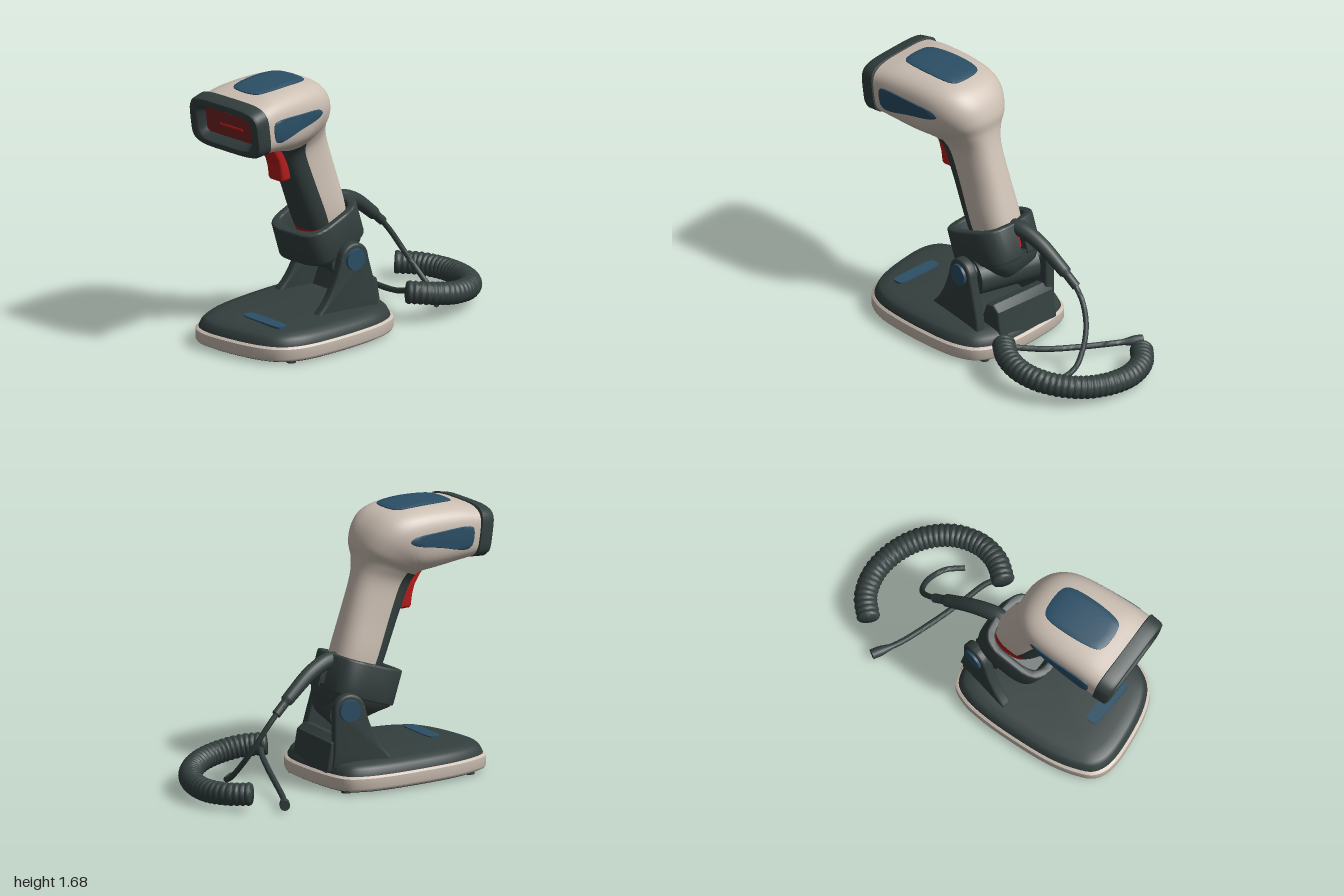
import * as THREE from 'three';
import { toCreasedNormals } from 'three/addons/utils/BufferGeometryUtils.js';

const mat = (name, color) => Object.assign(new THREE.MeshStandardMaterial({ color }), { name });
const V = (x, y, z) => new THREE.Vector3(x, y, z);

// Skin through closed rings, capped at both ends; pick(i, j) gives a material index
function loft(rings, crease = 0.7, pick = () => 0) {
  const n = rings[0].length, pts = rings.flat(), buckets = [[], [], []];
  const quad = (i, j) => {
    const a = i * n + j, b = i * n + (j + 1) % n, c = a + n, d = b + n;
    buckets[pick(i, j)].push(a, b, c, b, d, c);
  };
  for (let i = 0; i < rings.length - 1; i++) for (let j = 0; j < n; j++) quad(i, j);
  [[0, true], [rings.length - 1, false]].forEach(([i, start]) => {
    const mid = rings[i].reduce((s, p) => s.add(p), V(0, 0, 0)).divideScalar(n);
    const k = pts.push(mid) - 1, b = buckets[pick(Math.min(i, rings.length - 2), 0)];
    for (let j = 0; j < n; j++) {
      const p = i * n + j, q = i * n + (j + 1) % n;
      start ? b.push(k, q, p) : b.push(k, p, q);
    }
  });
  // turn the faces outward
  const o = pts[pts.length - 1];
  let vol = 0;
  for (const b of buckets) for (let t = 0; t < b.length; t += 3) {
    const [p, q, r] = [0, 1, 2].map(e => pts[b[t + e]].clone().sub(o));
    vol += p.dot(q.cross(r));
  }
  if (vol < 0) for (const b of buckets) for (let t = 0; t < b.length; t += 3) [b[t], b[t + 1]] = [b[t + 1], b[t]];
  const g = new THREE.BufferGeometry().setFromPoints(pts);
  g.setIndex(buckets.flat());
  let at = 0;
  buckets.forEach((b, m) => { if (b.length) g.addGroup(at, b.length, m); at += b.length; });
  return toCreasedNormals(g, crease);
}

// Rounded-rectangle style section
const pw = (v, n) => Math.sign(v) * Math.pow(Math.abs(v), 2 / n);
const section = (n, count, place) => Array.from({ length: count }, (_, j) => {
  const a = j / count * Math.PI * 2;
  return place(pw(Math.cos(a), n), pw(Math.sin(a), n));
});

// Closed smooth outline through a few 2D points
const outline = (pts, count) =>
  new THREE.CatmullRomCurve3(pts.map(([a, b]) => V(a, b, 0)), true).getPoints(count).slice(0, count);

// Round tube whose radius follows a rule
function cord(points, radius, steps, sides = 12) {
  const curve = new THREE.CatmullRomCurve3(points.map(p => V(...p)));
  const f = curve.computeFrenetFrames(steps);
  const rings = [];
  for (let i = 0; i <= steps; i++) {
    const c = curve.getPointAt(i / steps), r = radius(i / steps);
    rings.push(section(2, sides, (u, v) =>
      c.clone().addScaledVector(f.normals[i], u * r).addScaledVector(f.binormals[i], v * r)));
  }
  return loft(rings, 1.2);
}

// Side profile in (z, y), extruded across x and centred
function sideExtrude(shape, width, bevel) {
  const g = new THREE.ExtrudeGeometry(shape, {
    depth: width - 2 * bevel, bevelEnabled: true, bevelThickness: bevel, bevelSize: bevel, bevelOffset: -bevel, bevelSegments: 3, curveSegments: 16,
  });
  g.translate(0, 0, -(width - 2 * bevel) / 2).rotateY(-Math.PI / 2);
  return toCreasedNormals(g, 0.6);
}
const poly = pts => new THREE.Shape(pts.map(([a, b]) => new THREE.Vector2(a, b)));

export function createModel() {
  const beige = mat('beige plastic', 0xcdc0b4), dark = mat('dark rubber', 0x333f3e), blue = mat('blue accent', 0x2b4f66);
  const red = mat('red trigger', 0xb81c1c), glass = mat('dark red window', 0x762323), beam = mat('bright red line', 0xe01a1a);
  const under = mat('black underside', 0x1c2223);
  const model = new THREE.Group();
  const add = (parent, name, geo, m) => {
    const mesh = new THREE.Mesh(geo, m);
    mesh.name = name;
    parent.add(mesh);
    return mesh;
  };
  const group = (name, parent = model) => {
    const g = new THREE.Group();
    g.name = name;
    parent.add(g);
    return g;
  };

  // Base plate
  const base = group('base');
  const edge = outline([[-0.3, -0.17], [0, -0.16], [0.22, -0.115], [0.34, -0.03], [0.38, 0.08], [0.385, 0.22], [0.34, 0.55],
    [0.28, 0.76], [0.2, 0.87], [0.08, 0.925], [-0.15, 0.95], [-0.38, 0.93], [-0.47, 0.87], [-0.51, 0.76], [-0.53, 0.6],
    [-0.52, 0.35], [-0.49, 0.1], [-0.45, -0.05], [-0.39, -0.14]], 90);
  const baseRing = (y, inset) => edge.map(p =>
    V(-0.07 + (p.x + 0.07) * (1 - inset / 0.45), y, 0.4 + (p.y - 0.4) * (1 - inset / 0.5)));
  const slab = rows => loft(rows.map(r => baseRing(...r)));
  add(base, 'baseRim', slab([[0.018, 0.02], [0.026, 0.006], [0.04, 0], [0.1, 0], [0.112, 0.012]]), beige);
  add(base, 'baseTop', slab([[0.108, 0.014], [0.12, 0.016], [0.155, 0.03], [0.172, 0.045], [0.182, 0.1], [0.192, 0.2]]), dark);
  add(base, 'baseUnderside', slab([[0.012, 0.03], [0.02, 0.028]]), under);
  for (const [x, z] of [[-0.45, 0.76], [0.2, 0.78], [-0.32, -0.1], [0.26, -0.03]])
    add(base, 'foot', new THREE.CylinderGeometry(0.03, 0.03, 0.02, 16).translate(x, 0.01, z), dark);
  const badge = add(base, 'baseAccent', loft([0.185, 0.198].map(y =>
    section(5, 32, (u, v) => V(u * 0.165, y, v * 0.042)))), blue);
  badge.position.set(-0.05, 0, 0.72);
  badge.rotation.y = -0.15;

  // Rear bridge between the arms
  const bridge = add(base, 'rearBridge', sideExtrude(poly([[0.06, 0.15], [0, 0.32], [-0.06, 0.335], [-0.11, 0.3], [-0.14, 0.12]]), 0.45, 0.015), dark);
  bridge.position.set(-0.06, 0, -0.01);
  bridge.rotation.y = -0.2;

  // Arms with pivot caps
  const arm = (name, x, z, yaw, side, back) => {
    const g = group(name);
    g.position.set(x, 0.5, z);
    g.rotation.y = yaw;
    const s = new THREE.Shape();
    s.moveTo(0.28, -0.34);
    s.lineTo(0.27, -0.31);
    s.quadraticCurveTo(0.15, -0.2, 0.1, 0.02);
    s.absarc(0, 0, 0.1, 0.2, Math.PI, false);
    s.lineTo(-back, -0.25);
    s.lineTo(-back - 0.01, -0.36);
    add(g, 'armPlate', sideExtrude(s, 0.065, 0.015), dark);
    add(g, 'pivotCap', new THREE.CylinderGeometry(0.066, 0.07, 0.02, 32).rotateZ(-side * Math.PI / 2).translate(side * 0.038, 0, 0), blue);
  };
  arm('leftArm', 0.19, 0.18, -0.27, 1, 0.17);
  arm('rightArm', -0.28, -0.05, -0.33, -1, 0.1);
  const barrel = add(model, 'pivotBarrel', new THREE.CylinderGeometry(0.11, 0.11, 0.4, 24).rotateZ(Math.PI / 2), dark);
  barrel.position.set(-0.05, 0.455, 0.065);
  barrel.rotation.y = -0.42;
  const pin = add(model, 'pivotPin', new THREE.CylinderGeometry(0.05, 0.05, 0.5, 20).rotateZ(Math.PI / 2), dark);
  pin.position.set(-0.045, 0.5, 0.065);
  pin.rotation.y = -0.44;

  // Hand-held unit, turned a little to its right
  const unit = group('scanner');
  unit.position.x = -0.075;
  unit.rotation.y = -0.09;

  // Cup with a slot at the back for the cable
  const cup = group('cup', unit);
  cup.position.set(0, 0.735, 0.2);
  cup.rotation.x = 0.32;
  const arc = (w, d, gap) => Array.from({ length: 61 }, (_, i) => {
    const a = -Math.PI / 2 + gap + i / 60 * (Math.PI * 2 - 2 * gap);
    return new THREE.Vector2(pw(Math.cos(a), 3.6) * w, pw(Math.sin(a), 3.6) * d);
  });
  const wall = new THREE.ExtrudeGeometry(new THREE.Shape([...arc(0.205, 0.225, 0.045), ...arc(0.18, 0.195, 0.06).reverse()]),
    { depth: 0.2, bevelEnabled: true, bevelThickness: 0.012, bevelSize: 0.012, bevelSegments: 3 });
  add(cup, 'cupWall', toCreasedNormals(wall.rotateX(Math.PI / 2).translate(0, -0.01, 0), 0.6), dark);
  add(cup, 'cupFloor', loft([[-0.19, 0.21, 0.23], [-0.23, 0.205, 0.22], [-0.28, 0.17, 0.18], [-0.34, 0.12, 0.11]]
    .map(([y, w, d]) => section(3.4, 48, (u, v) => V(u * w, y, v * d - (y < -0.25 ? 0.03 : 0))))), dark);

  // Handle and head: one skin swept round the bend (inner z y, outer z y, half width, squareness)
  const spine = [[0.25, 0.54, -0.04, 0.63, 0.12, 2.6], [0.33, 0.72, 0.015, 0.82, 0.14, 2.6], [0.44, 0.98, 0.09, 1.05, 0.13, 2.6],
    [0.515, 1.15, 0.155, 1.25, 0.13, 2.6], [0.55, 1.22, 0.178, 1.36, 0.165, 2.6], [0.57, 1.245, 0.178, 1.46, 0.21, 2.6],
    [0.59, 1.255, 0.23, 1.57, 0.25, 2.7], [0.62, 1.262, 0.33, 1.645, 0.27, 2.9], [0.68, 1.275, 0.5, 1.672, 0.28, 3.2],
    [0.78, 1.295, 0.75, 1.665, 0.287, 3.5], [0.88, 1.312, 0.91, 1.635, 0.288, 3.8]];
  const along = f => new THREE.CatmullRomCurve3(spine.map(f), false, 'catmullrom', 0.5);
  const inner = along(r => V(0, r[1], r[0])), outer = along(r => V(0, r[3], r[2])), form = along(r => V(r[4], r[5], 0));
  const rings = Array.from({ length: 61 }, (_, i) => {
    const a = inner.getPoint(i / 60), b = outer.getPoint(i / 60), f = form.getPoint(i / 60);
    const mid = a.clone().add(b).multiplyScalar(0.5), half = a.clone().sub(b).multiplyScalar(0.5);
    return section(f.y, 48, (c, s) => V(s * f.x, 0, 0).add(mid).addScaledVector(half, c));
  });
  const shell = loft(rings, 0.8, (i, j) => {
    const m = Math.min(j, 47 - j);
    if (i < 4) return 2;
    if (i < 25 && m < 10) return 1;
    return i >= 34 && i < 52 && m < 3 ? 2 : 0;
  });
  add(unit, 'handleAndHead', shell, [beige, dark, red]);

  // Trigger
  add(unit, 'trigger', sideExtrude(poly([[0.66, 1.28], [0.637, 1.257], [0.6, 1.215], [0.565, 1.16], [0.547, 1.1], [0.538, 1.035],
    [0.525, 1.02], [0.47, 1.02], [0.455, 1.03], [0.5, 1.28]]), 0.125, 0.02), red);

  // Thin accent panels laid on the head
  const target = new THREE.Mesh(shell.clone(), new THREE.MeshStandardMaterial({ side: THREE.DoubleSide }));
  target.geometry.clearGroups();
  target.updateMatrixWorld();
  const panel = (pts, from, dir) => {
    const line = outline(pts, 48), c = line.reduce((s, p) => s.add(p), V(0, 0, 0)).divideScalar(48);
    return loft([[1, -0.008], [1, 0.005], [0.96, 0.008], [0.75, 0.008], [0.5, 0.008], [0.25, 0.008], [0.02, 0.008]].map(([t, lift]) =>
      line.map(p => {
        const o = from(c.x + (p.x - c.x) * t, c.y + (p.y - c.y) * t);
        const hit = new THREE.Raycaster(o, dir).intersectObject(target)[0];
        return (hit ? hit.point.clone() : o.clone().addScaledVector(dir, 2.75)).addScaledVector(dir, -lift);
      })));
  };
  add(unit, 'topPanel', panel([[-0.09, 0.385], [0.09, 0.385], [0.125, 0.43], [0.122, 0.74], [0.09, 0.8], [-0.09, 0.8], [-0.122, 0.74],
    [-0.125, 0.43]], (x, z) => V(x, 3, z), V(0, -1, 0)), blue);
  for (const s of [1, -1])
    add(unit, s > 0 ? 'leftPanel' : 'rightPanel', panel([[0.81, 1.535], [0.835, 1.52], [0.825, 1.42], [0.79, 1.395], [0.6, 1.43],
      [0.42, 1.465], [0.395, 1.485], [0.42, 1.51], [0.6, 1.53]], (z, y) => V(s * 3, y, z), V(-s, 0, 0)), blue);

  // Front bezel with recessed window
  const bezel = group('bezel', unit);
  bezel.position.set(0, 1.465, 0.98);
  bezel.rotation.x = 0.14;
  add(bezel, 'bezelFrame', loft([[-0.1, 0.285, 0.155], [-0.095, 0.297, 0.166], [-0.02, 0.292, 0.162], [-0.004, 0.283, 0.154], [0, 0.27, 0.143],
    [0, 0.235, 0.118], [-0.008, 0.225, 0.11], [-0.06, 0.2, 0.085]].map(([z, w, h]) => section(4.5, 64, (u, v) => V(u * w, v * h, z)))), dark);
  add(bezel, 'window', new THREE.BoxGeometry(0.39, 0.16, 0.008).translate(0, 0, -0.055), glass);
  add(bezel, 'aimingLine', new THREE.BoxGeometry(0.19, 0.012, 0.004).translate(0.015, -0.004, -0.05), beam);

  // Cable: strain relief, thin lead, coiled cord and tail
  const cable = group('cable');
  add(cable, 'strainRelief', cord([[-0.08, 0.72, 0.08], [-0.08, 0.765, -0.02], [-0.085, 0.72, -0.17], [-0.09, 0.6, -0.34], [-0.092, 0.5, -0.46]],
    t => t > 0.84 ? 0.028 : 0.054 - 0.018 * t, 40, 16), dark);
  add(cable, 'thinLead', cord([[-0.092, 0.51, -0.45], [-0.075, 0.42, -0.52], [-0.03, 0.3, -0.58], [0.05, 0.18, -0.615], [0.14, 0.09, -0.62],
    [0.24, 0.05, -0.575], [0.31, 0.045, -0.48]], () => 0.017, 40), dark);
  add(cable, 'coiledCord', cord([[-0.28, 0.1, -0.81], [-0.16, 0.092, -0.9], [0, 0.088, -0.93], [0.18, 0.095, -0.885], [0.33, 0.11, -0.78],
    [0.43, 0.135, -0.62], [0.45, 0.16, -0.45], [0.4, 0.185, -0.31], [0.3, 0.2, -0.205]],
    t => 0.064 + 0.008 * Math.abs(Math.sin(t * Math.PI * 38)), 228, 20), dark);
  add(cable, 'tail', cord([[0.31, 0.19, -0.24], [0.24, 0.17, -0.3], [0.1, 0.12, -0.37], [-0.1, 0.075, -0.47], [-0.3, 0.045, -0.58], [-0.45, 0.04, -0.69]],
    t => 0.018 + 0.014 * THREE.MathUtils.smoothstep(t, 0.85, 0.95), 40), dark);
  return model;
}
